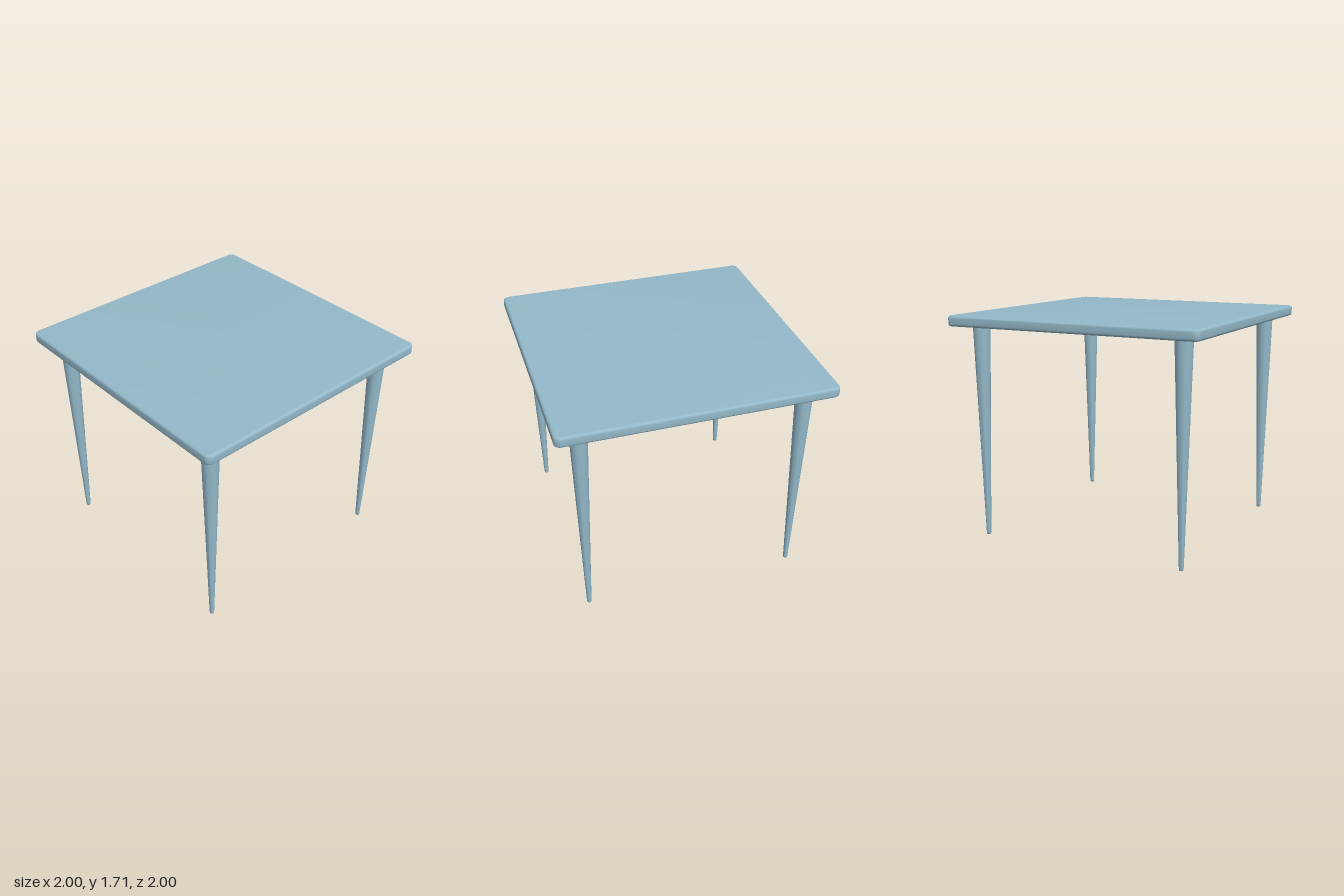
import * as THREE from 'three';
import { toCreasedNormals } from 'three/addons/utils/BufferGeometryUtils.js';

const BOTTOM = 1.63, TOP = 1.71, BEVEL = 0.02;

// Rounded square slab with softened upper and lower edges
function slabGeometry(half, corner) {
  const h = half - BEVEL, c = h - corner;
  const shape = new THREE.Shape();
  shape.absarc(c, c, corner, 0, Math.PI / 2);
  shape.absarc(-c, c, corner, Math.PI / 2, Math.PI);
  shape.absarc(-c, -c, corner, Math.PI, Math.PI * 1.5);
  shape.absarc(c, -c, corner, Math.PI * 1.5, Math.PI * 2);
  const geometry = new THREE.ExtrudeGeometry(shape, {
    depth: TOP - BOTTOM - 2 * BEVEL,
    bevelSize: BEVEL, bevelThickness: BEVEL, bevelSegments: 5, curveSegments: 6,
  });
  geometry.rotateX(-Math.PI / 2);
  geometry.translate(0, BOTTOM + BEVEL, 0);
  return toCreasedNormals(geometry, Math.PI / 5);
}

export function createModel() {
  const table = new THREE.Group();
  table.name = 'table';
  const material = new THREE.MeshStandardMaterial({ color: 0x93b8c9 });

  const top = new THREE.Mesh(slabGeometry(1, 0.025), material);
  top.name = 'tableTop';
  table.add(top);

  // Tapered round leg with a softened foot, running just into the slab
  const profile = [[0, 0], [0.011, 0], [0.015, 0.004], [0.017, 0.014], [0.018, 0.035], [0.065, BOTTOM], [0.065, BOTTOM + 0.01]]
    .map(([r, y]) => new THREE.Vector2(r, y));
  const legGeometry = toCreasedNormals(new THREE.LatheGeometry(profile, 32).toNonIndexed(), Math.PI / 5);

  for (const [z, end] of [[0.81, 'front'], [-0.81, 'back']]) {
    for (const [x, side] of [[0.82, 'Left'], [-0.82, 'Right']]) {
      const leg = new THREE.Mesh(legGeometry, material);
      leg.name = `${end}${side}Leg`;
      leg.position.set(x, 0, z);
      table.add(leg);
    }
  }
  return table;
}
